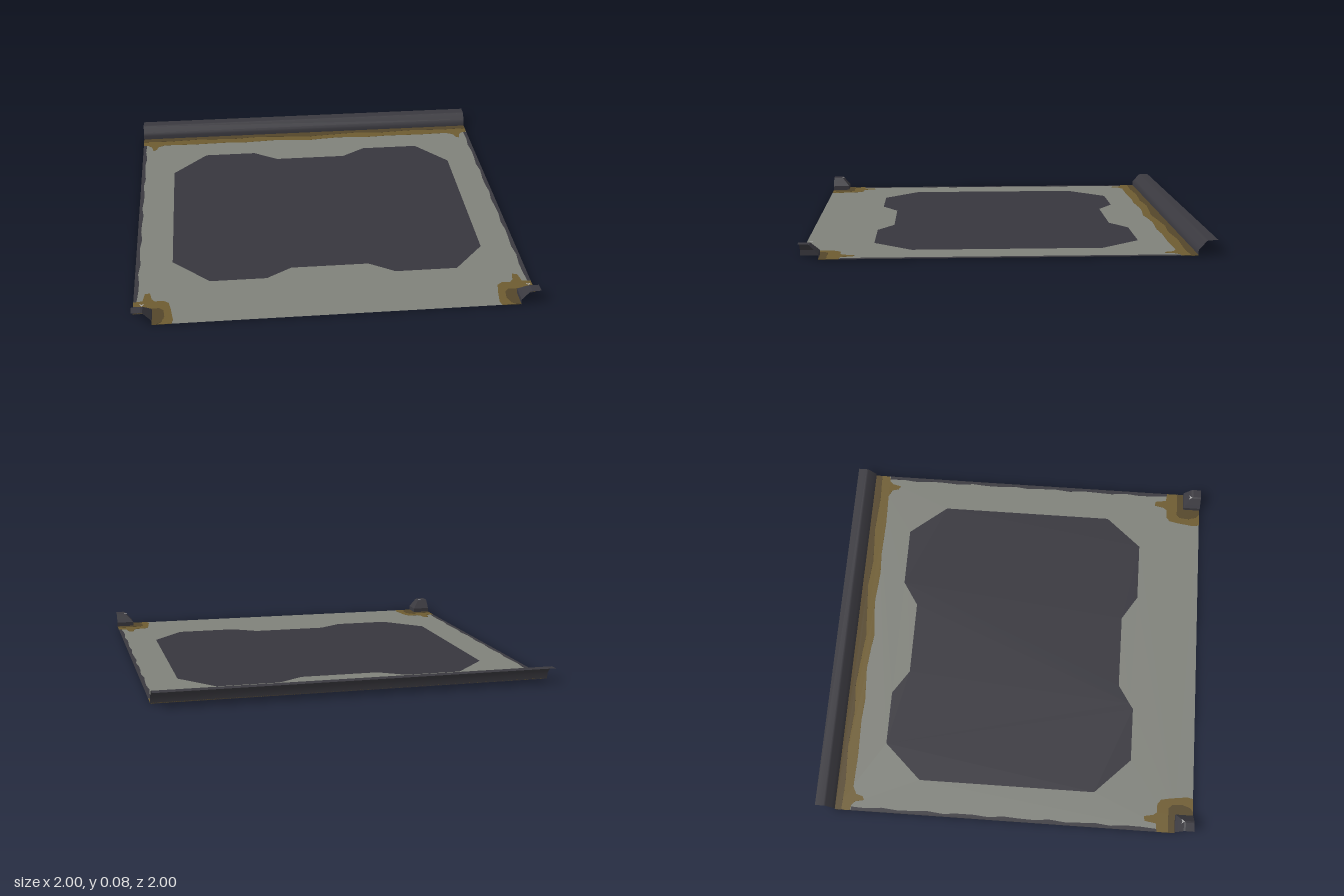
import * as THREE from 'three';

const flat = (name, hex) => {
  const m = new THREE.MeshStandardMaterial({ color: hex, side: THREE.DoubleSide });
  m.name = name;
  return m;
};

const FLOOR_Y = 0.003;
// trim profile: [distance in from the tile edge, height]
const PROFILE = [[0.095, 0], [0.095, 0.028], [0.082, 0.043], [0.055, 0.073], [0.045, 0.076], [0, 0.076]];

// Shape from [x, z] points; z is flipped so that the plate faces up once laid flat
const outline = (pts) => new THREE.Shape(pts.map(([x, z]) => new THREE.Vector2(x, -z)));

export function createModel() {
  const group = new THREE.Group();
  const mats = {
    floor: flat('grey floor', 0x7f817a),
    panel: flat('dark panel', 0x37363d),
    trim: flat('charcoal trim', 0x3a393f),
    rust: flat('ochre grime', 0x6d5b30),
    rustDark: flat('dark ochre grime', 0x54462a),
    mark: flat('pale mark', 0xa8a8a8),
  };

  const add = (name, geo, mat) => {
    const mesh = new THREE.Mesh(geo, mat);
    mesh.name = name;
    group.add(mesh);
    return mesh;
  };

  // thin plate straddling the floor sheet, so it shows from above and below
  const plate = (name, pts, mat, thick) => {
    const geo = new THREE.ExtrudeGeometry(outline(pts), { depth: thick, bevelEnabled: false });
    geo.rotateX(-Math.PI / 2).translate(0, FLOOR_Y - thick / 2, 0);
    return add(name, geo, mat);
  };

  // open sheet through rows of points
  const loft = (rows) => {
    const n = rows[0].length;
    const index = [];
    for (let i = 0; i < rows.length - 1; i++)
      for (let j = 0; j < n - 1; j++) {
        const a = i * n + j, b = a + n;
        index.push(a, a + 1, b, b, a + 1, b + 1);
      }
    const geo = new THREE.BufferGeometry();
    geo.setAttribute('position', new THREE.Float32BufferAttribute(rows.flat(2), 3));
    geo.setIndex(index);
    geo.computeVertexNormals();
    return geo;
  };

  // floor sheet with notched front corners and an opening for the panel
  const panelPts = [
    [-0.81, -0.47], [-0.62, -0.67], [-0.33, -0.67], [-0.3, -0.65], [-0.2, -0.585],
    [0.2, -0.585], [0.3, -0.65], [0.33, -0.67], [0.65, -0.67], [0.815, -0.47],
    [0.815, 0.47], [0.65, 0.66], [0.33, 0.66], [0.3, 0.64], [0.2, 0.577],
    [-0.2, 0.577], [-0.3, 0.64], [-0.33, 0.66], [-0.62, 0.66], [-0.81, 0.47],
  ];
  const floorShape = outline([
    [-1, -0.905], [1, -0.905], [1, 0.905], [0.905, 0.905], [0.905, 1],
    [-0.905, 1], [-0.905, 0.905], [-1, 0.905],
  ]);
  floorShape.holes.push(outline(panelPts));
  const lay = (shape) => new THREE.ShapeGeometry(shape).rotateX(-Math.PI / 2).translate(0, FLOOR_Y, 0);
  add('floor', lay(floorShape), mats.floor);
  add('floorPanel', lay(outline(panelPts)), mats.panel);

  // back skirting
  add('backTrim', loft(PROFILE.map(([o, y]) => [[-1, y, -1 + o], [1, y, -1 + o]])), mats.trim);

  // grime along the back skirting, with a drip near each end
  const half = [[0, -0.805], [0.08, -0.815], [0.2, -0.825], [0.38, -0.813], [0.5, -0.82], [0.7, -0.815],
    [0.87, -0.82], [0.91, -0.8], [0.92, -0.765], [0.94, -0.755], [0.95, -0.8], [0.97, -0.82], [1, -0.825]];
  const inner = [[0, -0.85], [0.08, -0.858], [0.3, -0.875], [0.45, -0.862], [0.65, -0.875], [0.85, -0.865], [1, -0.87]];
  const band = (pts) => [
    [-1, -0.905], ...pts.slice(1).reverse().map(([x, z]) => [-x, z]), ...pts, [1, -0.905],
  ];
  plate('backGrime', band(half), mats.rust, 0.002);
  plate('backGrimeInner', band(inner), mats.rustDark, 0.004);

  for (const s of [1, -1]) {
    const side = s > 0 ? 'left' : 'right';
    const flip = (pts) => pts.map(([x, z]) => [s * x, z]);

    // front corner post, open towards the outside
    const rows = PROFILE.map(([o, y]) => [[s, y, 1 - o], [s * (1 - o), y, 1 - o], [s * (1 - o), y, 1]]);
    const post = loft(rows).toNonIndexed();
    post.computeVertexNormals();
    add(side + 'CornerPost', post, mats.trim);

    // small chevron on top of the post
    const chevron = outline(flip([[0.935, 0.93], [0.948, 0.936], [0.962, 0.932], [0.949, 0.95]]));
    add(side + 'PostMark', new THREE.ShapeGeometry(chevron).rotateX(-Math.PI / 2).translate(0, 0.078, 0), mats.mark);

    // grime around the post
    plate(side + 'CornerGrime', flip([
      [1, 0.81], [0.955, 0.805], [0.945, 0.745], [0.92, 0.74], [0.91, 0.79], [0.895, 0.81], [0.85, 0.81],
      [0.825, 0.83], [0.815, 0.88], [0.803, 0.97], [0.81, 1], [0.905, 1], [0.905, 0.905], [1, 0.905],
    ]), mats.rust, 0.002);
    plate(side + 'CornerGrimeInner', flip([
      [1, 0.87], [0.87, 0.87], [0.85, 0.89], [0.845, 0.94], [0.86, 0.985], [0.88, 1],
      [0.905, 1], [0.905, 0.905], [1, 0.905],
    ]), mats.rustDark, 0.004);

    // worn dark strip along the side edge
    const edge = [[1, -0.82]];
    for (let i = 0; i <= 20; i++) edge.push([0.98 + 0.005 * Math.sin(i * 2.3), -0.82 + i * 0.0815]);
    edge.push([1, 0.81]);
    plate(side + 'EdgeStrip', flip(edge), mats.trim, 0.002);
  }

  return group;
}
